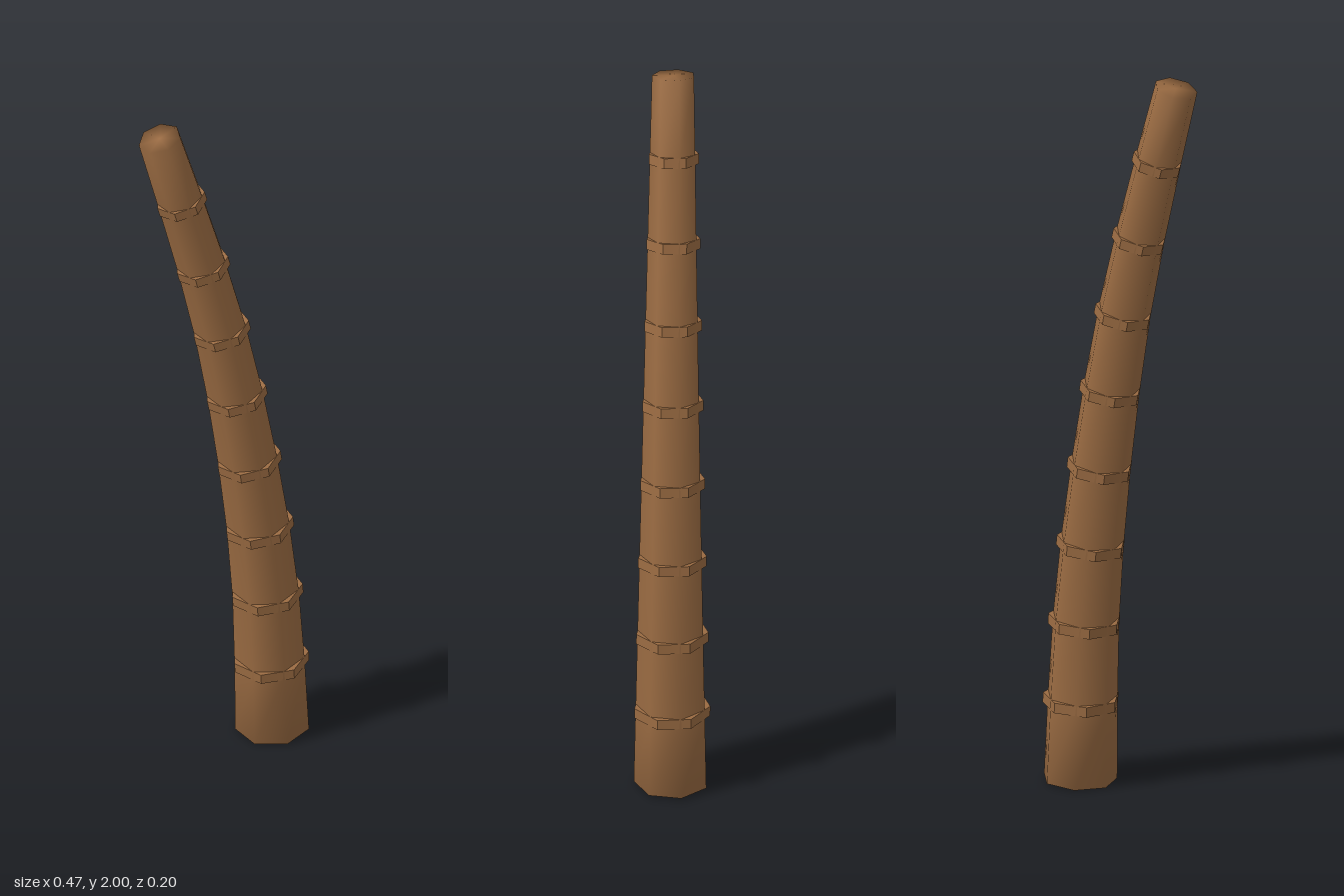
import * as THREE from 'three';

const SIDES = 7;
const rad = THREE.MathUtils.degToRad;

// Centre line of the leaning trunk, base to tip
const axis = [
  [0.135, 0.005], [0.128, 0.225], [0.117, 0.445], [0.096, 0.665], [0.067, 0.885],
  [0.032, 1.105], [-0.01, 1.325], [-0.062, 1.545], [-0.122, 1.77], [-0.182, 1.987],
].map(([x, y]) => new THREE.Vector3(x, y, 0));
const curve = new THREE.CatmullRomCurve3(axis);
const radiusAt = (i) => THREE.MathUtils.lerp(0.1, 0.058, i / (axis.length - 1));

// Closed seven-sided solid lofted through { center, tangent, radius } sections
function loft(sections, startAngle, flat) {
  const pos = [], index = [];
  for (const { center, tangent, radius } of sections) {
    for (let k = 0; k < SIDES; k++) {
      const a = startAngle + (k / SIDES) * Math.PI * 2;
      const c = Math.cos(a) * radius;
      pos.push(center.x + c * tangent.y, center.y - c * tangent.x, Math.sin(a) * radius);
    }
  }
  const last = sections.length - 1;
  const bottom = sections.length * SIDES, top = bottom + 1;
  pos.push(...sections[0].center.toArray(), ...sections[last].center.toArray());
  for (let k = 0; k < SIDES; k++) {
    const n = (k + 1) % SIDES;
    for (let i = 0; i < last; i++) {
      const a = i * SIDES + k, b = i * SIDES + n;
      index.push(a, a + SIDES, b, b, a + SIDES, b + SIDES);
    }
    index.push(bottom, k, n, top, last * SIDES + n, last * SIDES + k);
  }
  let geo = new THREE.BufferGeometry();
  geo.setAttribute('position', new THREE.Float32BufferAttribute(pos, 3));
  geo.setIndex(index);
  if (flat) geo = geo.toNonIndexed();
  geo.computeVertexNormals();
  return geo;
}

export function createModel() {
  const group = new THREE.Group();
  group.name = 'palmTrunk';
  const bark = new THREE.MeshStandardMaterial({ color: 0x9a6b42 });
  bark.name = 'brown bark';

  const tangents = axis.map((_, i) => curve.getTangent(i / (axis.length - 1)));

  // Tapered trunk, smooth across its end caps
  const sections = axis.map((center, i) => ({ center, tangent: tangents[i], radius: radiusAt(i) }));
  const trunk = new THREE.Mesh(loft(sections, rad(87), false), bark);
  trunk.name = 'trunk';
  group.add(trunk);

  // Bark rings, turned against the trunk so only their corners stick out
  for (let i = 1; i < axis.length - 1; i++) {
    const ends = [-0.014, 0.014].map((d) => ({
      center: axis[i].clone().addScaledVector(tangents[i], d),
      tangent: tangents[i],
      radius: radiusAt(i) * 1.08,
    }));
    const ring = new THREE.Mesh(loft(ends, rad(72), true), bark);
    ring.name = 'barkRing' + i;
    group.add(ring);
  }
  return group;
}
